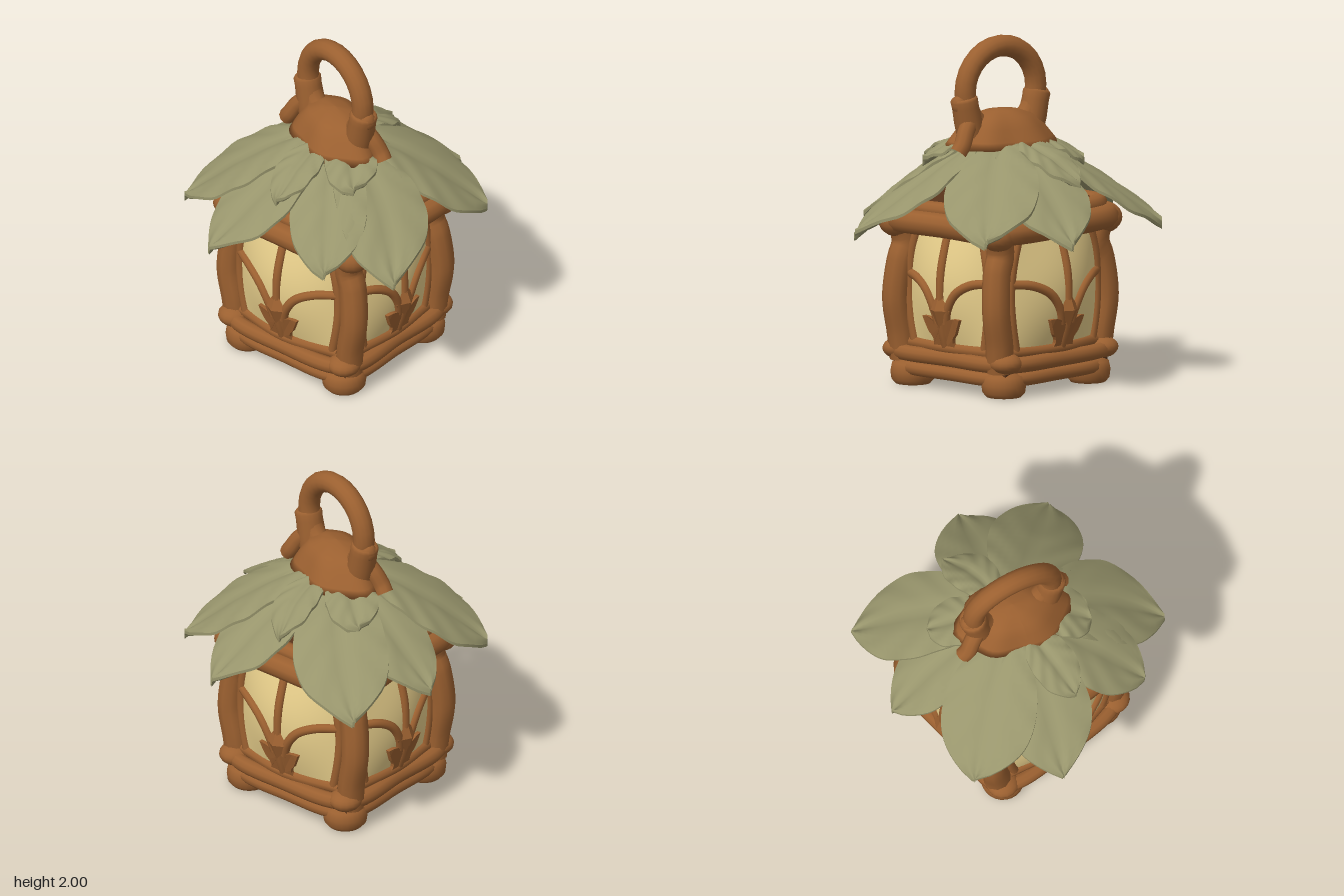
import * as THREE from 'three';

const mat = (name, color, double) => {
  const m = new THREE.MeshStandardMaterial({ color });
  m.name = name;
  if (double) m.side = THREE.DoubleSide;
  return m;
};

export function createModel() {
  const wood = mat('wood', 0x9b6030);
  const darkWood = mat('dark wood', 0x57331a);
  const leafGreen = mat('leaf green', 0x98956c);
  const glass = mat('warm glass', 0xe9d08c, true);

  const lantern = new THREE.Group();
  lantern.name = 'lantern';
  const V = (x, y, z) => new THREE.Vector3(x, y, z);

  const add = (parent, name, geo, material, x = 0, y = 0, z = 0) => {
    const mesh = new THREE.Mesh(geo, material);
    mesh.name = name;
    mesh.position.set(x, y, z);
    parent.add(mesh);
    return mesh;
  };
  const tube = (points, r, closed = false, n = 24) =>
    new THREE.TubeGeometry(new THREE.CatmullRomCurve3(points, closed), n, r, 10, closed);
  const lathe = (pairs, n = 24) =>
    new THREE.LatheGeometry(pairs.map(p => new THREE.Vector2(...p)), n);
  const reshape = (geo, rule) => {
    const p = geo.attributes.position;
    for (let i = 0; i < p.count; i++) p.setXYZ(i, ...rule(p.getX(i), p.getY(i), p.getZ(i)));
    geo.computeVertexNormals();
    return geo;
  };

  // Base slab, sill and ceiling
  add(lantern, 'baseSlab', new THREE.BoxGeometry(0.86, 0.1, 0.86), darkWood, 0, 0.115, 0);
  add(lantern, 'sill', new THREE.BoxGeometry(0.84, 0.1, 0.8), wood, 0, 0.205, 0);
  add(lantern, 'ceiling', new THREE.BoxGeometry(0.9, 0.1, 0.84), wood, 0, 0.97, 0);

  // Bowed rails around the bottom and the top
  const ring = (name, y, cx, cz, mx, mz, r) => {
    const pts = [];
    for (const [a, b] of [[1, 1], [1, -1], [-1, -1], [-1, 1]]) {
      pts.push(V(a * cx, 0, b * cz));
      pts.push(a === b ? V(a * mx, 0, 0) : V(0, 0, b * mz));
    }
    add(lantern, name, tube(pts, r, true, 96), wood, 0, y, 0);
  };
  ring('bottomRail', 0.19, 0.42, 0.41, 0.45, 0.47, 0.046);
  ring('baseRim', 0.1, 0.39, 0.39, 0.43, 0.44, 0.04);
  ring('topBeam', 0.955, 0.45, 0.41, 0.47, 0.48, 0.07);
  ring('eaveRim', 1.03, 0.41, 0.38, 0.42, 0.42, 0.05);

  // Corner posts, knuckles and feet
  for (const sx of [-1, 1]) for (const sz of [-1, 1]) {
    const post = [[0.41, 0.15, 0.37], [0.425, 0.3, 0.38], [0.458, 0.5, 0.385], [0.435, 0.72, 0.37],
      [0.4, 0.82, 0.365], [0.44, 0.98, 0.38]].map(([x, y, z]) => V(sx * x, y, sz * z));
    add(lantern, 'cornerPost', tube(post, 0.08), wood);
    const knuckle = new THREE.SphereGeometry(0.1, 16, 12);
    add(lantern, 'postTop', knuckle, wood, sx * 0.445, 0.94, sz * 0.39).scale.set(1.05, 0.9, 1.05);
    add(lantern, 'postBottom', knuckle, wood, sx * 0.405, 0.2, sz * 0.41).scale.set(0.95, 0.62, 0.95);
    add(lantern, 'foot', lathe([[0, 0], [0.1, 0], [0.122, 0.025], [0.128, 0.07], [0.118, 0.12],
      [0.07, 0.15], [0, 0.15]]), wood, sx * 0.355, 0, sz * 0.35);
  }

  // Bulging glass panel with flower tracery, built facing +z
  const makePanel = (hw, base, lip, bulge) => {
    const panel = new THREE.Group();
    panel.name = 'windowPanel';
    const depth = (x, y) => base + (lip + bulge * Math.sin(Math.PI * (y - 0.2) / 0.74))
      * (1 - (x / (hw * 1.08)) ** 2);
    add(panel, 'glassPane', reshape(new THREE.PlaneGeometry(hw * 2, 0.7, 20, 20),
      (x, y) => [x, y + 0.57, depth(x, y + 0.57)]), glass);
    const rib = (name, pts, r) =>
      add(panel, name, tube(pts.map(([x, y]) => V(x * hw, y, depth(x * hw, y))), r), wood);
    rib('centreRib', [[0, 0.5], [0, 0.7], [0, 0.93]], 0.026);
    rib('lowerFrame', [[-0.95, 0.25], [0, 0.25], [0.95, 0.25]], 0.035);
    rib('upperFrame', [[-0.9, 0.91], [0, 0.91], [0.9, 0.91]], 0.03);
    rib('stem', [[0, 0.24], [0, 0.33], [0, 0.42]], 0.032);
    for (const s of [-1, 1]) {
      rib('sideFrame', [[s * 0.86, 0.25], [s * 0.95, 0.42], [s * 0.98, 0.58], [s * 0.93, 0.76],
        [s * 0.8, 0.92]], 0.028);
      rib('tendril', [[s * 0.1, 0.4], [s * 0.18, 0.49], [s * 0.36, 0.58], [s * 0.65, 0.635],
        [s * 0.98, 0.65]], 0.027);
      // Leaflet beside the bud
      const shape = new THREE.Shape();
      shape.moveTo(0, 0.25);
      shape.lineTo(s * 0.09, 0.25);
      shape.quadraticCurveTo(s * 0.05, 0.3, s * 0.1, 0.34);
      shape.quadraticCurveTo(s * 0.12, 0.38, s * 0.14, 0.43);
      shape.quadraticCurveTo(s * 0.09, 0.44, s * 0.06, 0.42);
      shape.lineTo(0, 0.38);
      const leaflet = new THREE.ExtrudeGeometry(shape, { depth: 0.024, bevelEnabled: false, curveSegments: 5 });
      add(panel, 'leaflet', reshape(leaflet, (x, y, z) => [x, y, z + depth(x, y)]), wood);
    }
    add(panel, 'bud', new THREE.OctahedronGeometry(1, 0), wood, 0, 0.475, depth(0, 0.475) + 0.012)
      .scale.set(0.08, 0.105, 0.042);
    return panel;
  };
  for (let i = 0; i < 4; i++) {
    const panel = i % 2 ? makePanel(0.31, 0.41, 0.02, 0.08) : makePanel(0.37, 0.38, 0.06, 0.085);
    panel.rotation.y = i * Math.PI / 2;
    lantern.add(panel);
  }

  // Roof core under the leaves
  add(lantern, 'roofCore', new THREE.CylinderGeometry(0.15, 0.62, 0.36, 4).toNonIndexed(), darkWood, 0, 1.16, 0)
    .rotation.y = Math.PI / 4;

  // Leaves: a thin slab bent over the roof, given by tip, half width, lift, droop length,
  // sideways bend and tip sharpness (1 pointed, 0.5 round)
  const makeLeaf = (tx, tz, W, lift, ref, bend, sharp) => {
    const L = Math.hypot(tx, tz), r0 = 0.1;
    const slab = new THREE.BoxGeometry(2, 1, 1, 14, 1, 24);
    const geo = reshape(slab, (v, h, z) => {
      const u = z + 0.5;
      const toTip = THREE.MathUtils.clamp((u - 0.58) / 0.42, 0, 1);
      const w = W * (u < 0.58 ? 0.35 + 0.65 * Math.sin(u / 0.58 * Math.PI / 2)
        : Math.max(0.04, (1 - toTip ** 2.2) ** sharp));
      const r = r0 + (L - r0) * u;
      const s = v * w + bend * Math.sin(Math.PI * u);
      const t = Math.max(0, (Math.hypot(r, 0.75 * s) - r0) / (ref - r0));
      const veins = 0.007 * Math.sin((u * 4 - Math.abs(v) * 1.3) * Math.PI * 2) * Math.abs(v)
        - 0.02 * Math.exp(-v * v * 30);
      const thick = 0.036 * Math.sqrt(1 - 0.75 * v ** 4);
      return [s, 1.405 - 0.505 * t ** 1.35 + lift * Math.min(1, u * 1.6) + veins + 0.02 * v * u + h * thick, r];
    });
    add(lantern, 'roofLeaf', geo, leafGreen).rotation.y = Math.atan2(tx, tz);
  };
  [
    [-0.66, -0.64, 0.27, 0.0, 0.93, -0.04, 0.85], [0.26, -0.8, 0.25, 0.0, 0.85, 0, 0.9],
    [0.69, -0.52, 0.27, 0.03, 0.87, 0, 0.75], [0.78, 0.41, 0.26, 0.0, 0.88, 0.07, 0.9],
    [0.45, 0.64, 0.22, 0.025, 0.8, 0, 0.7], [-0.27, 0.8, 0.25, 0.0, 0.84, 0.02, 0.9],
    [-0.69, 0.51, 0.27, 0.03, 0.87, 0, 0.75], [-0.79, -0.11, 0.21, 0.01, 0.82, -0.03, 0.75],
    [-0.05, -0.57, 0.13, 0.06, 0.86, -0.03, 0.9], [0.02, 0.55, 0.13, 0.06, 0.86, 0, 0.7],
    [-0.4, -0.28, 0.15, 0.065, 0.86, 0, 0.5], [0.36, 0.27, 0.15, 0.065, 0.86, 0.02, 0.5],
  ].forEach(a => makeLeaf(...a));

  // Crown with a wavy, slanted skirt
  const crown = new THREE.Group();
  crown.name = 'crown';
  crown.rotation.y = -0.2;
  lantern.add(crown);
  const dome = lathe([[0, 1.34], [0.24, 1.35], [0.33, 1.37], [0.3, 1.41], [0.25, 1.48], [0.19, 1.54],
    [0.1, 1.57], [0, 1.58]], 48);
  add(crown, 'crownCap', reshape(dome, (x, y, z) => {
    const a = Math.atan2(z, x);
    const k = 1 + (0.09 * Math.cos(2 * a - 1.2) + 0.045 * Math.sin(6 * a + 0.5))
      * Math.min(1, Math.hypot(x, z) / 0.3);
    return [x * k, y, z * k * 0.72];
  }), wood);

  // Handle ring with sleeves, buds and roots
  add(crown, 'handleRing', new THREE.TorusGeometry(0.248, 0.062, 14, 28), wood, 0, 1.69, 0);
  for (const s of [-1, 1]) {
    const sleeve = add(crown, 'handleSleeve', lathe([[0.08, -0.14], [0.082, -0.06], [0.078, 0.03],
      [0.08, 0.07], [0.07, 0.085], [0.05, 0.085]], 16), wood, s * 0.24, 1.58, 0);
    sleeve.rotation.z = -s * 0.22;
    add(crown, 'sleeveBud', new THREE.SphereGeometry(0.05, 12, 10), wood, s * 0.292, 1.625, 0)
      .scale.set(0.8, 1.1, 1);
    add(crown, 'root', tube([V(s * 0.22, 1.54, -s * 0.02), V(s * 0.28, 1.47, -s * 0.05),
      V(s * 0.32, 1.4, -s * 0.07), V(s * 0.35, 1.36, -s * 0.07)], 0.05), wood);
  }

  return lantern;
}
